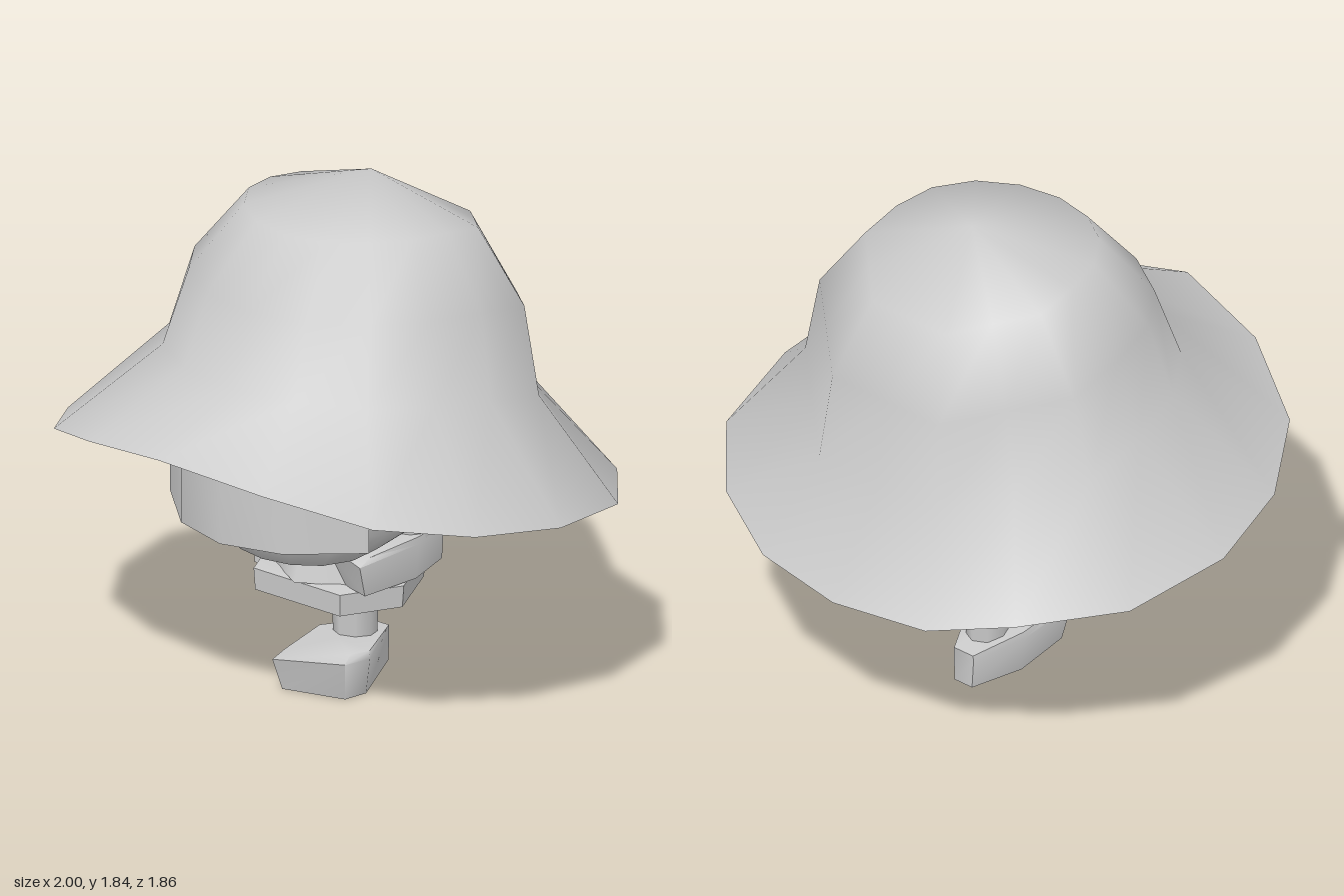
import * as THREE from 'three';
import { toCreasedNormals } from 'three/addons/utils/BufferGeometryUtils.js';

const material = new THREE.MeshStandardMaterial({ color: 0xcccccc, side: THREE.DoubleSide });

function add(parent, name, geometry, x = 0, y = 0, z = 0) {
  const mesh = new THREE.Mesh(geometry, material);
  mesh.name = name;
  mesh.position.set(x, y, z);
  parent.add(mesh);
  return mesh;
}

// Skin through rings of [x, y, z] points, listed from bottom to top.
function loft(rings, capBottom, capTop) {
  const n = rings[0].length;
  const points = rings.flat();
  const index = [];
  for (let j = 0; j < rings.length - 1; j++) {
    for (let i = 0; i < n; i++) {
      const a = j * n + i, b = j * n + (i + 1) % n;
      index.push(a, b, b + n, a, b + n, a + n);
    }
  }
  const cap = (start, tip, flip) => {
    const c = points.push(tip) - 1;
    for (let i = 0; i < n; i++) {
      const a = start + i, b = start + (i + 1) % n;
      index.push(c, flip ? b : a, flip ? a : b);
    }
  };
  if (capBottom) cap(0, capBottom, true);
  if (capTop) cap((rings.length - 1) * n, capTop, false);
  const geometry = new THREE.BufferGeometry();
  geometry.setAttribute('position', new THREE.Float32BufferAttribute(points.flat(), 3));
  geometry.setIndex(index);
  geometry.computeVertexNormals();
  return geometry;
}

// Ring that is round in front and a half octagon behind:
// half width, front and back z, then front, side and back y.
function ring([w, zf, zb, yf, ys, yb]) {
  return Array.from({ length: 16 }, (_, i) => {
    const a = i * Math.PI / 8;
    const k = i % 2 && i > 4 && i < 12 ? 1 / Math.cos(Math.PI / 8) : 1;
    const c = Math.cos(a) * k;
    return [
      w * Math.sin(a) * k,
      ys + (yf - yb) / 2 * c + ((yf + yb) / 2 - ys) * c * c,
      (zf + zb) / 2 + (zf - zb) / 2 * c,
    ];
  });
}

// Shoe with a broad, slanting toe and a narrow heel, its sole at y = 0.
function shoe() {
  const plan = [[-0.09, 0.22, 0.14], [0.17, 0.14, 0.165], [0.19, 0.03, 0.16],
    [0.03, -0.26, 0.13], [-0.06, -0.26, 0.13], [-0.12, -0.06, 0.155]];
  const sole = plan.map(([x, z]) => [x * 0.88, 0, z > 0 ? z * 0.82 : z]);
  const middle = plan.map(([x, z, y]) => [x, y * 0.85, z]);
  const top = plan.map(([x, z, y]) => [x * 0.95, y, z > 0 ? z * 0.72 : z]);
  return toCreasedNormals(loft([sole, middle, top], [0.02, 0, 0], [0.02, 0.16, 0]), 1.2);
}

export function createModel() {
  const model = new THREE.Group();
  model.name = 'hattedFigure';

  // Bell-shaped hat with a sixteen-sided brim, raised in front
  const half = [[0, 1.1, 0.93], [0.39, 1.04, 0.84], [0.72, 0.94, 0.64], [0.92, 0.87, 0.33],
    [1, 0.815, -0.03], [0.92, 0.76, -0.43], [0.66, 0.73, -0.73], [0.37, 0.66, -0.87], [0, 0.65, -0.93]];
  const rim = [...half, ...half.slice(1, 8).reverse().map(([x, y, z]) => [-x, y, z])];
  const crown = [
    [0.65, 0.55, -0.69, 1.25, 1.18, 1.02],
    [0.58, 0.45, -0.655, 1.5, 1.48, 1.34],
    [0.4, 0.26, -0.53, 1.73, 1.72, 1.62],
  ].map(ring);
  add(model, 'hat', loft([rim, ...crown], null, [0, 1.835, -0.2]));

  // Head, with the chin lower than the nape
  const head = [
    [0.1, 0.23, 0.06, 0.525, 0.535, 0.57],
    [0.3, 0.38, -0.12, 0.565, 0.6, 0.67],
    [0.44, 0.47, -0.42, 0.69, 0.72, 0.77],
    [0.5, 0.5, -0.52, 0.9, 0.9, 0.92],
    [0.5, 0.45, -0.5, 1.2, 1.15, 1.05],
  ].map(ring);
  add(model, 'head', loft(head, [0, 0.52, 0.16], [0, 1.25, -0.05]));

  // Faceted panel wrapped round the face
  const arc = [[-0.45, 0.34], [-0.23, 0.54], [0, 0.605], [0.23, 0.54], [0.45, 0.34]];
  const panel = new THREE.ExtrudeGeometry(
    new THREE.Shape(arc.map(([x, z]) => new THREE.Vector2(x, -z))), { depth: 0.43, bevelEnabled: false });
  panel.rotateX(-Math.PI / 2);
  add(model, 'facePanel', toCreasedNormals(panel, 0.7), 0, 0.69, 0);

  // Hair locks hanging at the sides of the head
  for (const side of [-1, 1]) {
    const lock = add(model, 'hairLock', new THREE.ConeGeometry(0.06, 0.22, 4), side * 0.5, 0.94, 0.15);
    lock.rotation.z = Math.PI - side * 0.25;
  }

  // Jacket: open six-sided hem, low waist, narrow side panel and a curved flap
  const hem = [[-0.2, 0.19], [0.19, 0.19], [0.3, -0.02], [0.17, -0.29], [-0.19, -0.27], [-0.3, -0.02]];
  const tier = (scale, y) => hem.map(([x, z]) => [x * scale, y, z * scale]);
  add(model, 'jacketHem', toCreasedNormals(
    loft([tier(0.98, 0.34), tier(1, 0.42), tier(0.7, 0.43)], null, [0, 0.43, -0.03]), 0.6));
  add(model, 'waist', new THREE.CylinderGeometry(0.14, 0.19, 0.13, 6), 0, 0.49, 0.02);
  add(model, 'jacketSide', new THREE.BoxGeometry(0.07, 0.16, 0.2), -0.255, 0.465, -0.02);
  const flap = add(model, 'jacketFlap',
    new THREE.CylinderGeometry(0.15, 0.13, 0.24, 6, 1, true, Math.PI * 0.75, Math.PI), -0.17, 0.55, -0.12);
  flap.rotation.z = 0.12;

  // Standing leg and raised leg
  const leg = (length) => new THREE.CylinderGeometry(0.078, 0.07, length, 8).scale(1, 1, 1.2);
  add(model, 'standingLeg', leg(0.26), 0, 0.27, -0.115);
  add(model, 'standingShoe', shoe());
  add(model, 'raisedLeg', leg(0.18), 0.22, 0.63, -0.15);
  add(model, 'raisedShoe', shoe(), 0.19, 0.425, -0.03).scale.x = -1;

  // Right arm held out to the side in a broad, flat sleeve
  const sleeve = new THREE.CylinderGeometry(0.09, 0.08, 0.5, 6).scale(1, 1, 2);
  const arm = add(model, 'rightArm', toCreasedNormals(sleeve, 0.7), -0.56, 0.82, -0.06);
  arm.rotation.z = Math.PI / 2;

  // Left arm raised under the brim, ending in a rounded fist
  const leftArm = add(model, 'leftArm', new THREE.CylinderGeometry(0.1, 0.09, 0.24, 5), 0.53, 0.86, -0.1);
  leftArm.rotation.z = -1.25;
  const fist = loft([
    [0.09, 0.08, -0.08, -0.1, -0.1, -0.1],
    [0.13, 0.12, -0.12, -0.02, -0.02, -0.02],
    [0.1, 0.09, -0.09, 0.1, 0.1, 0.1],
  ].map(ring), [0, -0.11, 0], [0, 0.11, 0]);
  add(model, 'leftFist', fist, 0.67, 0.88, -0.08).rotation.z = -0.4;

  return model;
}
